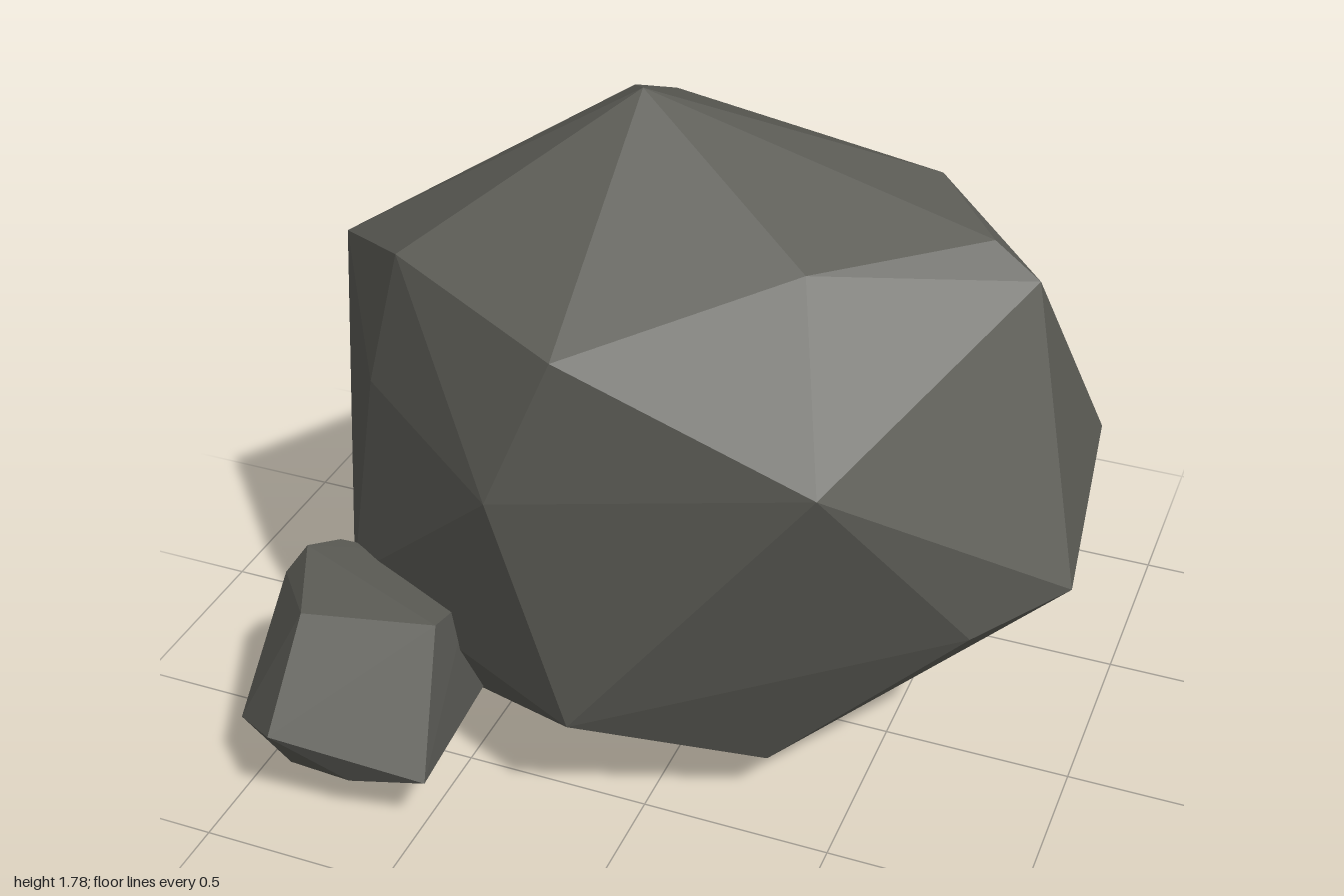
import * as THREE from 'three';
import { ConvexGeometry } from 'three/addons/geometries/ConvexGeometry.js';

// Faceted stone spanned by its corner points
function stone(name, corners, material) {
  const geometry = new ConvexGeometry(corners.map((c) => new THREE.Vector3(...c)));
  const mesh = new THREE.Mesh(geometry, material);
  mesh.name = name;
  return mesh;
}

export function createModel() {
  const group = new THREE.Group();
  group.name = 'rocks';
  const rock = new THREE.MeshStandardMaterial({ color: 0x5c5c56, flatShading: true });
  rock.name = 'grey rock';

  group.add(stone('boulder', [
    // crown
    [-0.18, 1.785, 0], [0.335, 1.53, 0.29], [0.68, 1.505, -0.075], [0.8, 1.425, -0.06],
    [0.485, 1.54, -0.3], [-0.32, 1.52, -0.56], [-0.29, 1.685, -0.21],
    [-0.64, 1.465, 0.43], [-0.93, 1.335, 0.155],
    // front
    [-0.15, 1.39, 0.64], [0.5, 1.195, 0.67], [-0.31, 1, 0.695], [-0.74, 1.09, 0.43],
    [-0.12, 0.38, 0.695], [0.8, 0.69, 0.39], [-0.88, 0.42, 0.37],
    // sides
    [1, 0.78, 0.23], [0.92, 0.84, -0.405], [0.69, 1.1, -0.55], [0.75, 0.43, -0.16],
    [-0.855, 0.42, 0],
    // back
    [0.405, 1.24, -0.66], [0.135, 0.95, -0.87], [0.165, 0.68, -0.925],
    [0.185, 0.415, -0.815], [-0.67, 1.09, -0.625], [-0.15, 0.33, -0.78],
    // underside
    [0.04, 0.045, -0.29], [0.225, 0, 0.08], [0.3, 0.17, 0.4], [-0.51, 0.165, 0.4],
  ], rock));

  group.add(stone('smallRock', [
    // top
    [-0.81, 0.58, 0.75], [-0.495, 0.55, 0.64], [-0.945, 0.57, 0.48], [-0.9, 0.54, 0.39],
    [-0.78, 0.52, 0.36], [-0.5, 0.5, 0.45], [-1, 0.49, 0.51],
    // front and side
    [-0.835, 0.31, 0.925], [-0.455, 0.2, 0.83], [-1, 0.22, 0.79],
    // underside
    [-0.84, 0.15, 0.83], [-0.67, 0.145, 0.835], [-0.955, 0.17, 0.5],
    [-0.75, 0.13, 0.4], [-0.49, 0.19, 0.42],
  ], rock));

  return group;
}
